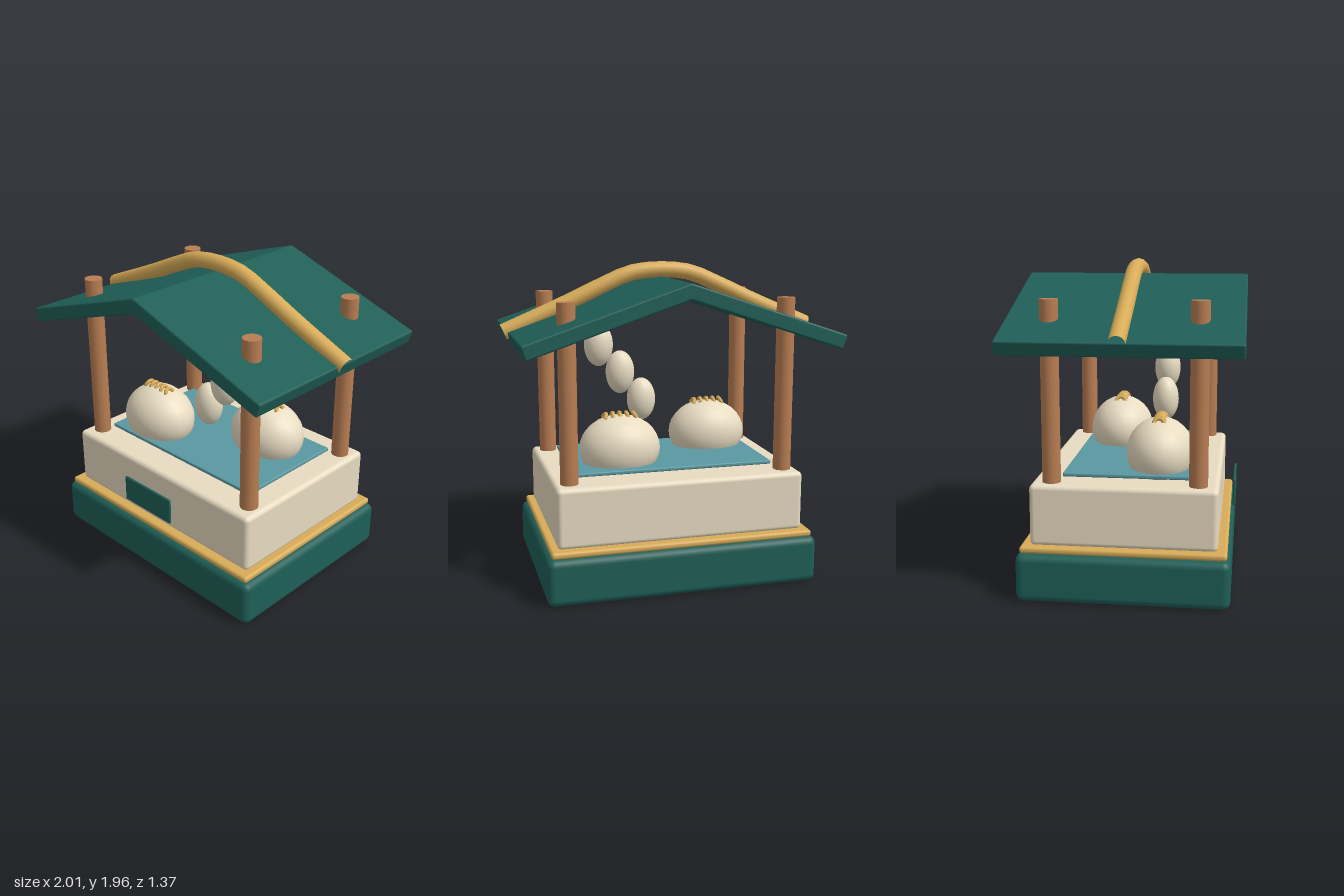
import * as THREE from 'three';
import { RoundedBoxGeometry } from 'three/addons/geometries/RoundedBoxGeometry.js';

const paint = (color) => new THREE.MeshStandardMaterial({ color });

export function createModel() {
  const model = new THREE.Group();
  model.name = 'bunStall';

  const teal = paint(0x1f5f57);
  const cream = paint(0xe8dcc2);
  const gold = paint(0xd8ac58);
  const wood = paint(0xb87d52);
  const blue = paint(0x5a99a3);

  function add(name, geometry, material, x, y, z, parent = model) {
    const mesh = new THREE.Mesh(geometry, material);
    mesh.name = name;
    mesh.position.set(x, y, z);
    parent.add(mesh);
    return mesh;
  }
  const box = (w, h, d, r) => new RoundedBoxGeometry(w, h, d, 3, r);

  // Stacked counter: plinth, trim, body, tray and front plaque
  add('plinth', box(1.68, 0.29, 1.255, 0.045), teal, 0, 0.145, 0);
  add('trim', box(1.62, 0.042, 1.21, 0.018), gold, 0, 0.31, 0);
  add('counterBody', box(1.53, 0.37, 1.1, 0.03), cream, 0, 0.508, 0);
  add('trayTop', box(1.24, 0.024, 0.75, 0.008), blue, 0, 0.722, 0);
  add('frontPlaque', box(0.41, 0.17, 0.018, 0.008), teal, 0, 0.525, 0.63);

  // Four posts that pass through the roof
  const postGeometry = new THREE.CylinderGeometry(0.055, 0.055, 1.08, 16);
  for (const x of [-0.67, 0.67])
    for (const z of [-0.43, 0.43]) add('post', postGeometry, wood, x, 1.22, z);

  // Two sloping roof slabs meeting at the ridge
  const slope = 0.321, length = 1.02, thickness = 0.09;
  const slabGeometry = box(length, thickness, 1.37, 0.012);
  for (const side of [-1, 1]) {
    const along = length / 2 - 0.004;
    const x = along * Math.cos(slope) - (thickness / 2) * Math.sin(slope);
    const y = 1.872 - along * Math.sin(slope) - (thickness / 2) * Math.cos(slope);
    add('roofSlab', slabGeometry, teal, side * x, y, 0).rotation.z = -side * slope;
  }

  // Bowed pole over the roof, open at both ends
  const half = [[0.985, 1.55], [0.61, 1.71], [0.37, 1.82], [0.19, 1.893]];
  const bow = new THREE.CatmullRomCurve3([
    ...half.map(([x, y]) => new THREE.Vector3(-x, y, 0)),
    new THREE.Vector3(0, 1.912, 0),
    ...half.reverse().map(([x, y]) => new THREE.Vector3(x, y, 0)),
  ]);
  add('roofPole', new THREE.TubeGeometry(bow, 24, 0.05, 12), gold, 0, 0, 0);

  // Buns, each with a fan of five pleats on top
  const ball = new THREE.SphereGeometry(1, 24, 16);
  const pleatGeometry = new THREE.TorusGeometry(0.03, 0.013, 8, 12, Math.PI);
  pleatGeometry.rotateY(Math.PI / 2);
  for (const [x, z] of [[-0.368, 0.18], [0.3, -0.14]]) {
    const bun = new THREE.Group();
    bun.name = 'bun';
    bun.position.set(x, 0.82, z);
    model.add(bun);
    add('bunBody', ball, cream, 0, 0, 0, bun).scale.set(0.255, 0.21, 0.205);
    for (let i = -2; i <= 2; i++) {
      const pleat = add('pleat', pleatGeometry, gold, i * 0.05, 0.193, 0, bun);
      pleat.rotation.z = i * 0.25;
    }
  }

  // Rising steam puffs
  for (let i = 0; i < 3; i++) {
    const puff = add('steamPuff', ball, cream, 0.085 + i * 0.14, 1.062 + i * 0.184, 0.172);
    puff.scale.set(0.094, 0.14, 0.084);
  }

  return model;
}
